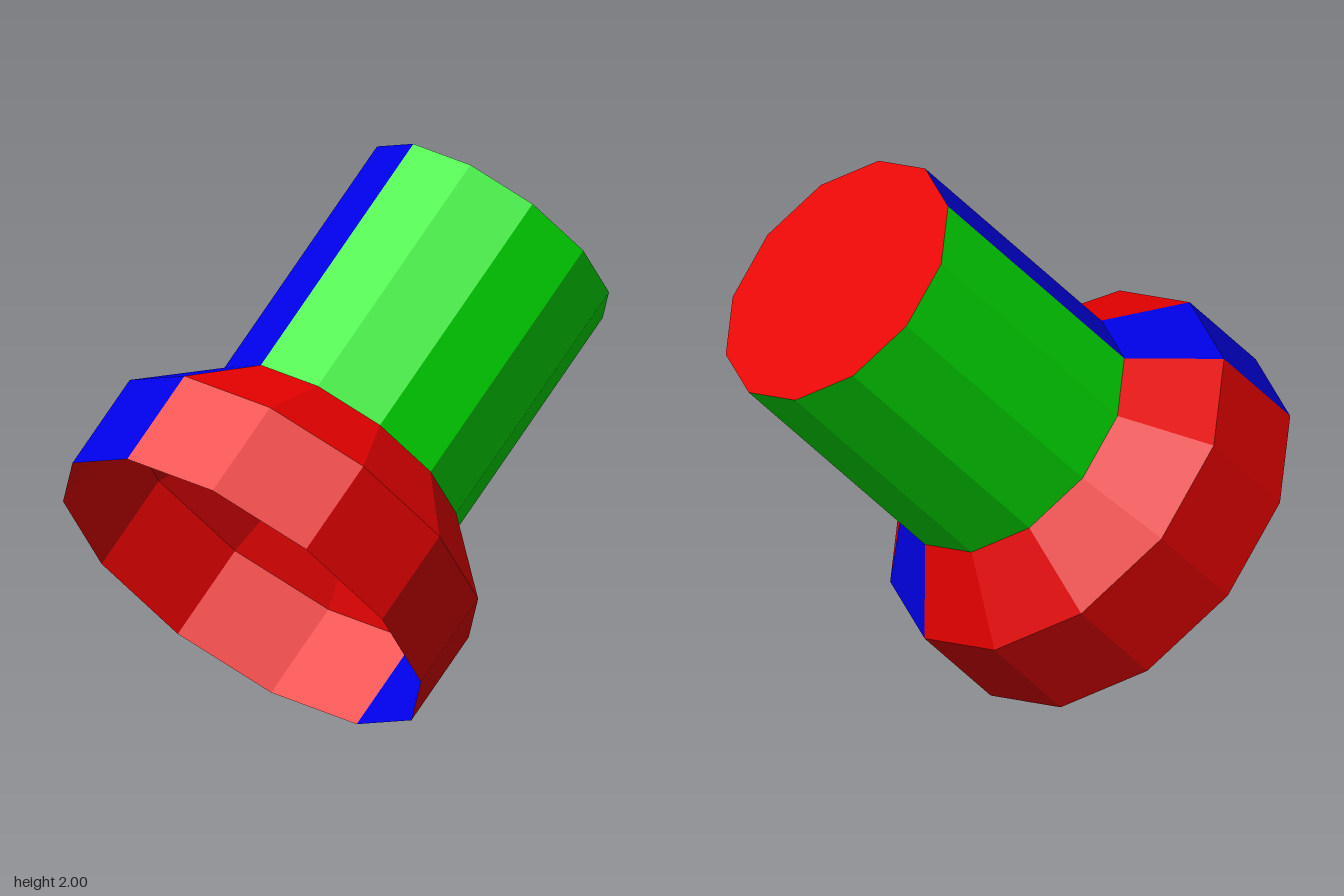
import * as THREE from 'three';

const SIDES = 12;
const STEP = (Math.PI * 2) / SIDES;

function paint(name, color) {
  const m = new THREE.MeshStandardMaterial({ color, side: THREE.DoubleSide, flatShading: true });
  m.name = name;
  return m;
}

export function createModel() {
  const red = paint('red', 0xff0000);
  const green = paint('green', 0x00ff00);
  const blue = paint('blue', 0x0000ff);

  const model = new THREE.Group();
  model.name = 'torch';

  // Everything is built around a local y axis that runs from mouth to tail
  const axis = new THREE.Group();
  axis.name = 'tiltedTorch';
  axis.position.set(0, 0.522, 0.478);
  axis.rotation.x = -Math.PI / 4;
  model.add(axis);

  // Open wall panel covering some of the twelve facets
  function panel(parent, name, s, first, count, material) {
    const geo = new THREE.CylinderGeometry(
      s.r1, s.r0, s.y1 - s.y0, count, 1, true, first * STEP, count * STEP);
    geo.translate(0, (s.y0 + s.y1) / 2, 0);
    const mesh = new THREE.Mesh(geo, material);
    mesh.name = name;
    parent.add(mesh);
  }

  const sections = [
    { name: 'headRim', r0: 0.739, r1: 0.739, y0: 0, y1: 0.369, material: red },
    { name: 'headCone', r0: 0.739, r1: 0.492, y0: 0.369, y1: 0.614, material: red },
    { name: 'handle', r0: 0.492, r1: 0.492, y0: 0.614, y1: 1.597, material: green },
  ];

  // Each section: two plain halves and two opposite blue stripes
  for (const s of sections) {
    const part = new THREE.Group();
    part.name = s.name;
    axis.add(part);
    for (const start of [0, 6]) {
      panel(part, s.name + 'Wall', s, start, 5, s.material);
      panel(part, s.name + 'Stripe', s, start + 5, 1, blue);
    }
  }

  // Closed tail end
  const capGeo = new THREE.CircleGeometry(0.492, SIDES);
  capGeo.rotateX(-Math.PI / 2);
  const cap = new THREE.Mesh(capGeo, red);
  cap.name = 'tailCap';
  cap.position.y = 1.597;
  axis.add(cap);

  return model;
}
